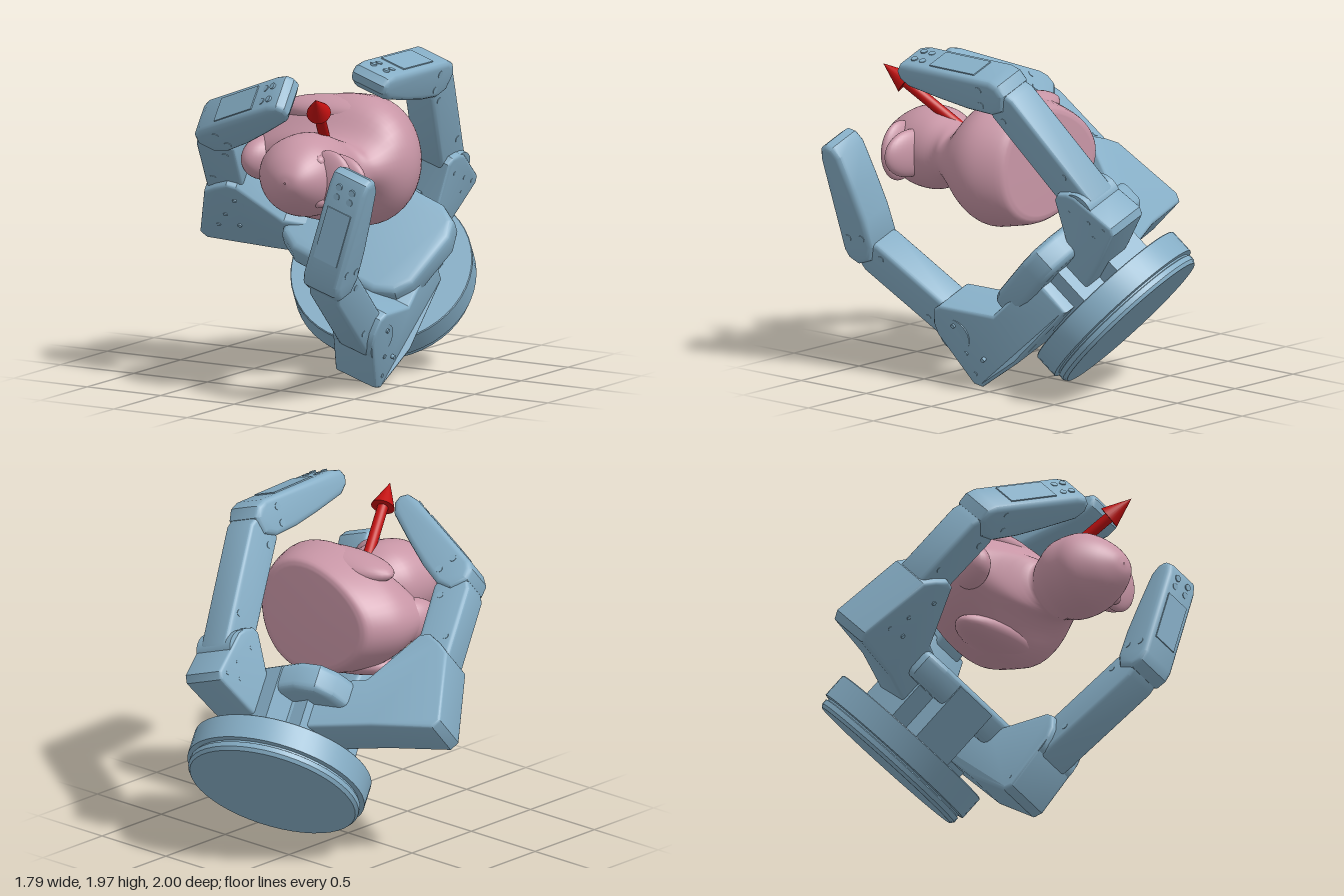
import * as THREE from 'three';
import { toCreasedNormals } from 'three/addons/utils/BufferGeometryUtils.js';

const V = (x, y, z) => new THREE.Vector3(x, y, z);
const blue = new THREE.MeshStandardMaterial({ color: 0x86aec6 });
const pink = new THREE.MeshStandardMaterial({ color: 0xc896a6 });
const red = new THREE.MeshStandardMaterial({ color: 0xc01010 });

// Hand frame: base centre, tilted axis and sideways direction
const C = V(0, 0.42, -0.635);
const N = V(0.25, 0.69, 0.68).normalize();
const S = V(0.94, -0.335, 0).normalize();

function add(parent, name, geo, mat = blue) {
  const m = new THREE.Mesh(geo, mat);
  m.name = name;
  parent.add(m);
  return m;
}

function framed(name, x, y, origin) {
  const g = new THREE.Group();
  const z = x.clone().cross(y).normalize();
  g.name = name;
  g.quaternion.setFromRotationMatrix(new THREE.Matrix4().makeBasis(y.clone().cross(z), y, z));
  g.position.copy(origin);
  return g;
}

// Bevelled slab, centred on z = 0, from a 2D outline
function slab(pts, width, b = 0.02) {
  const shape = new THREE.Shape(pts.map(p => new THREE.Vector2(p[0], p[1])));
  const geo = new THREE.ExtrudeGeometry(shape, {
    depth: width - 2 * b, bevelThickness: b, bevelSize: b, bevelOffset: -b, bevelSegments: 3,
  });
  geo.translate(0, 0, b - width / 2);
  return toCreasedNormals(geo, 0.6);
}

function pin(r, len, p) {
  const geo = new THREE.CylinderGeometry(r, r, len, 24);
  return toCreasedNormals(geo.rotateX(Math.PI / 2).translate(p[0], p[1], 0), 0.6);
}

function makeBase() {
  const g = framed('base', S, N, C);
  const profile = [[0, -0.01], [0.495, -0.01], [0.51, 0.01], [0.51, 0.04], [0.5, 0.045], [0.5, 0.055],
    [0.53, 0.06], [0.53, 0.205], [0.525, 0.21], [0, 0.21]].map(p => new THREE.Vector2(...p));
  add(g, 'baseDisc', toCreasedNormals(new THREE.LatheGeometry(profile, 48), 0.5));
  // Palm plate with wide cut corners, on a support block
  const a = 0.46, b = 0.35, c = 0.17;
  const outline = [[a, c - b], [a, b - c], [a - 0.05, b - 0.06], [a - c, b], [c - a, b], [0.05 - a, b - 0.06],
    [-a, b - c], [-a, c - b], [0.05 - a, 0.06 - b], [c - a, -b], [a - c, -b], [a - 0.05, 0.06 - b]];
  const palm = add(g, 'palm', slab(outline, 0.18, 0.045));
  palm.rotation.x = -Math.PI / 2;
  palm.position.set(-0.02, 0.54, 0);
  add(g, 'palmSupport', new THREE.BoxGeometry(0.28, 0.4, 0.72)).position.set(-0.04, 0.4, 0);
  add(g, 'palmCore', new THREE.BoxGeometry(0.6, 0.28, 0.4)).position.set(0, 0.34, 0);
  return g;
}

// k scales the bracket, drop and reach move its lower corner, skew shifts its root sideways
function makeFinger(name, [j1, j2, tip], { k = 1, drop = 0, reach = 0, skew = 0 }) {
  const w = j2.clone().sub(j1).cross(tip.clone().sub(j2));
  const u = N.clone().cross(w).normalize();
  const rel = j1.clone().sub(C);
  if (u.dot(rel) < 0) u.negate();
  const z = u.clone().cross(N);
  const g = framed(name, u, N, C.clone().addScaledVector(z, z.dot(rel)));
  const flat = p => { const d = p.clone().sub(C); return [d.dot(u), d.dot(N)]; };
  const [A, B, T] = [j1, j2, tip].map(flat);

  // Bracket from the hub out to the first knuckle
  const off = (x, y) => [A[0] + x * k, A[1] + y * k];
  const bracket = slab([[-0.08, 0.25], off(-0.21, -0.38 - drop * 0.6), off(0.12 + reach, -0.32 - drop),
    off(0.155 + reach, -0.27 - drop), off(0.09 + reach * 0.5, 0.08), off(0.05, 0.14), off(-0.03, 0.19),
    off(-0.09, 0.18), off(-0.32, -0.09 - drop * 0.6), [-0.08, 0.53]], 0.29);
  const P = bracket.attributes.position;
  for (let i = 0; i < P.count; i++)
    P.setZ(i, P.getZ(i) + skew * Math.max(0, A[0] - 0.1 - P.getX(i)) / A[0]);
  add(g, 'bracket', toCreasedNormals(bracket, 0.6));
  add(g, 'firstKnuckle', pin(0.11, 0.27, A));
  for (const [x, y] of [[0.08, -0.24], [0.02, -0.12], [-0.05, -0.22], [-0.06, 0.04]])
    add(g, 'bracketScrew', pin(0.013, 0.294, off(x, y)));

  // Link outlines: t runs along the link, h points inwards
  const along = (p, q) => {
    const d = new THREE.Vector2(q[0] - p[0], q[1] - p[1]);
    const L = d.length();
    d.normalize();
    return { L, angle: d.angle(), at: (t, h) => [p[0] + d.x * t - d.y * h, p[1] + d.y * t + d.x * h] };
  };
  const mid = along(A, B);
  add(g, 'middleLink', slab([[-0.08, -0.08], [0, -0.115], [mid.L - 0.08, -0.12], [mid.L + 0.05, -0.06],
    [mid.L + 0.05, 0.05], [mid.L - 0.08, 0.11], [0.05, 0.11], [-0.08, 0.07]].map(p => mid.at(...p)), 0.21, 0.025));
  for (const [t, h] of [[0.2, -0.06], [mid.L - 0.14, 0.05]])
    add(g, 'linkScrew', pin(0.02, 0.216, mid.at(t, h)));

  const end = along(B, T), L = end.L;
  add(g, 'fingertip', slab([[-0.1, -0.04], [-0.06, -0.1], [0, -0.12], [L - 0.06, -0.095], [L + 0.01, -0.075],
    [L + 0.035, -0.03], [L + 0.02, 0.02], [L - 0.04, 0.06], [L * 0.6, 0.09], [L * 0.3, 0.11], [0.02, 0.11],
    [-0.07, 0.07]].map(p => end.at(...p)), 0.25, 0.035));
  for (const h of [-0.05, 0.05])
    add(g, 'sideScrew', pin(0.022, 0.256, end.at(0.08, h)));

  // Thin cover and screws on the back of the fingertip
  const back = new THREE.Group();
  back.name = 'fingertipBack';
  back.position.set(...end.at(0, 0), 0);
  back.rotation.z = end.angle;
  g.add(back);
  const cover = add(back, 'cover', new THREE.BoxGeometry(L * 0.5, 0.02, 0.16));
  cover.position.set(L * 0.45, -0.105, 0);
  cover.rotation.z = 0.04;
  for (const t of [L - 0.12, L - 0.06])
    for (const s of [-0.045, 0.045])
      add(back, 'tipScrew', new THREE.CylinderGeometry(0.02, 0.02, 0.02, 16)).position.set(t, -0.092, s);
  return g;
}

// Duck body, neck and head: egg-shaped rings stacked along z
function duckShell() {
  // z, back x, front x, half width, egg amount
  const rings = [[-0.15, -0.22, 0.5, 0.29, 0.2], [-0.125, -0.28, 0.56, 0.335, 0.2], [0, -0.345, 0.63, 0.365, 0.2],
    [0.1, -0.365, 0.65, 0.375, 0.2], [0.2, -0.36, 0.63, 0.325, 0.2], [0.29, -0.33, 0.59, 0.225, 0.15],
    [0.345, -0.2, 0.56, 0.18, 0.1], [0.39, 0.08, 0.53, 0.17, 0], [0.45, 0.07, 0.5, 0.195, 0],
    [0.55, 0.02, 0.51, 0.235, 0], [0.66, 0.01, 0.51, 0.24, 0], [0.76, 0.02, 0.49, 0.215, 0],
    [0.86, 0.11, 0.44, 0.145, 0], [0.92, 0.22, 0.38, 0.065, 0], [0.935, 0.3, 0.31, 0.005, 0]];
  const span = new THREE.CatmullRomCurve3(rings.map(r => V(r[0], r[1], r[2])), false, 'catmullrom');
  const girth = new THREE.CatmullRomCurve3(rings.map(r => V(r[3], r[4], 0)), false, 'catmullrom');
  const rows = 56, cols = 48, pos = [], idx = [];
  for (let i = 0; i <= rows; i++) {
    const a = span.getPoint(i / rows), b = girth.getPoint(i / rows);
    for (let j = 0; j < cols; j++) {
      const t = j / cols * Math.PI * 2, c = Math.cos(t);
      pos.push((a.y + a.z) / 2 + (a.z - a.y) / 2 * c, 1.3 + b.x * Math.sin(t) * (1 + b.y * c), a.x);
    }
  }
  for (let i = 0; i < rows; i++)
    for (let j = 0; j < cols; j++) {
      const k = (j + 1) % cols, a = i * cols + j, b = i * cols + k;
      idx.push(a, b, b + cols, a, b + cols, a + cols);
    }
  const bottom = pos.length / 3;
  pos.push(0.12, 1.3, -0.15);
  for (let j = 0; j < cols; j++) idx.push(bottom, (j + 1) % cols, j);
  const geo = new THREE.BufferGeometry();
  geo.setAttribute('position', new THREE.Float32BufferAttribute(pos, 3));
  geo.setIndex(idx);
  geo.computeVertexNormals();
  return geo;
}

function makeDuck() {
  const g = new THREE.Group();
  g.name = 'duck';
  add(g, 'duckBody', duckShell(), pink);
  const ball = (name, p, r, tilt = 0) => {
    const m = add(g, name, new THREE.SphereGeometry(1, 32, 20), pink);
    m.position.set(...p);
    m.scale.set(...r);
    m.rotation.y = tilt;
  };
  ball('tail', [-0.26, 1.29, 0.25], [0.1, 0.13, 0.17], -0.3);
  ball('upperBeak', [0.47, 1.3, 0.715], [0.15, 0.175, 0.055]);
  ball('lowerBeak', [0.48, 1.3, 0.625], [0.19, 0.14, 0.06], -0.12);
  for (const s of [-1, 1]) {
    ball('wing', [0.14, 1.3 + s * 0.28, 0.1], [0.36, 0.09, 0.15], 0.1);
    ball('eye', [0.42, 1.295 + s * 0.115, 0.75], [0.04, 0.04, 0.04]);
  }
  return g;
}

function makeArrow() {
  const a = V(0.26, 1.44, 0.42), d = V(0.46, 1.79, 0.85).sub(a), L = d.length();
  const g = new THREE.Group();
  g.name = 'arrow';
  g.position.copy(a);
  g.quaternion.setFromUnitVectors(V(0, 1, 0), d.normalize());
  add(g, 'arrowShaft', new THREE.CylinderGeometry(0.032, 0.032, L - 0.16, 24), red).position.y = (L - 0.16) / 2;
  add(g, 'arrowHead', new THREE.ConeGeometry(0.07, 0.17, 24), red).position.y = L - 0.085;
  return g;
}

export function createModel() {
  const model = new THREE.Group();
  model.name = 'gripperHoldingDuck';
  model.add(
    makeBase(),
    makeFinger('sideFinger', [V(-0.59, 1.08, 0.09), V(-0.43, 1.53, 0.46), V(0.15, 1.8, 0.6)],
      { drop: 0.09, reach: 0.06, skew: 0.1 }),
    makeFinger('backFinger', [V(0.35, 1.19, -0.65), V(0.575, 1.8, -0.17), V(0.61, 1.84, 0.49)], { k: 0.8 }),
    makeFinger('frontFinger', [V(0.4, 0.33, 0.25), V(0.57, 0.76, 0.85), V(0.78, 1.37, 0.89)], { skew: 0.15 }),
    makeDuck(),
    makeArrow(),
  );
  return model;
}
